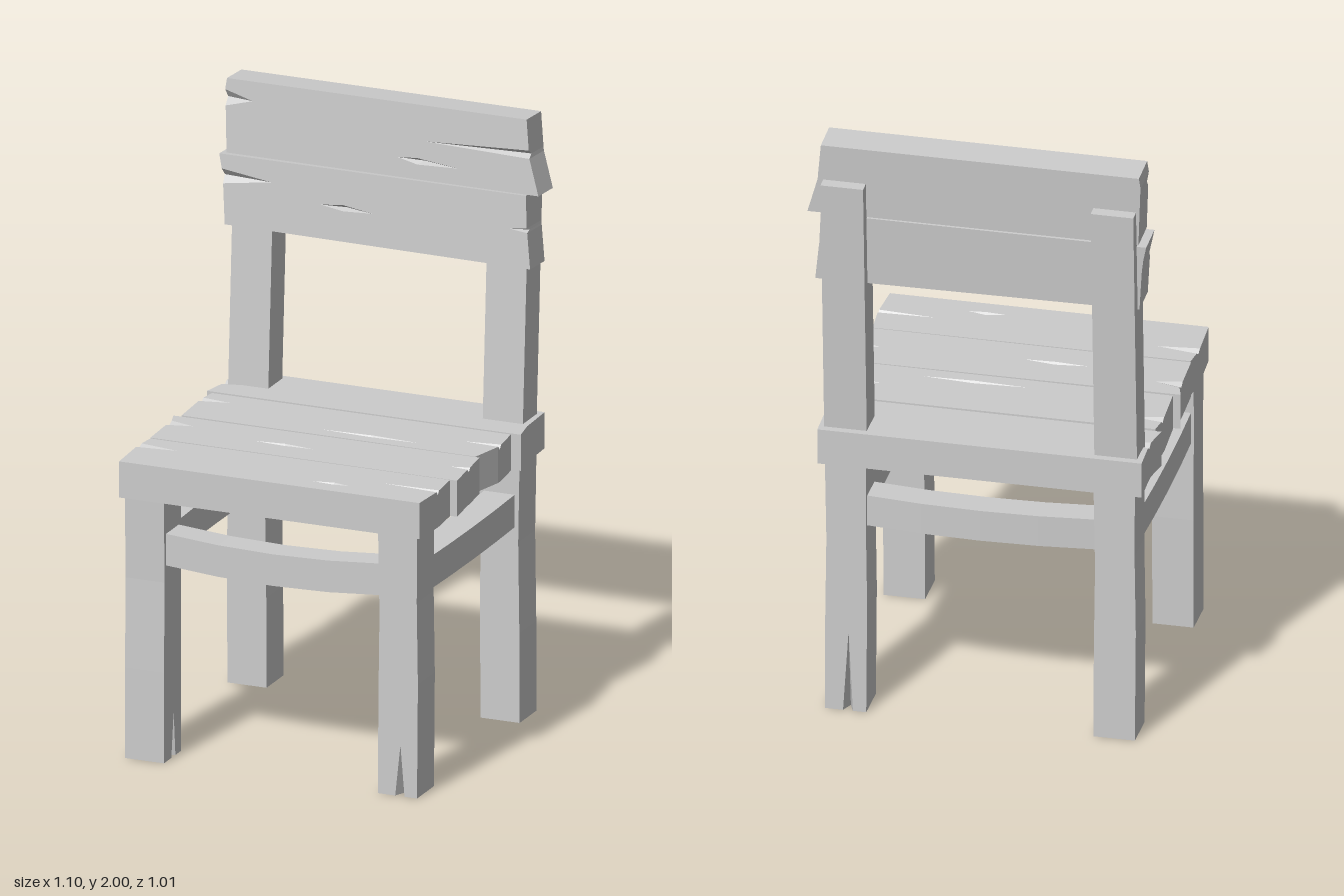
import * as THREE from 'three';

const grey = new THREE.MeshStandardMaterial({ color: 0xcccccc, flatShading: true });
const greyOpen = new THREE.MeshStandardMaterial({ color: 0xcccccc, flatShading: true, side: THREE.DoubleSide });

// Slab with its face at z = 0 and its back at z = -t. Outline points are [x, y];
// [x, y, ex, ey] is the tip of a V-shaped split that opens on the edge at (ex, ey).
// Each crack is a closed ring of points sunk to its centre.
function slabGeometry(outline, t, depth, cracks = [], openBottom = false) {
  const v2 = (p) => new THREE.Vector2(p[0], p[1]);
  const orient = (ring) => (THREE.ShapeUtils.isClockWise(ring.map(v2)) ? [...ring].reverse() : ring);
  const pts = orient(outline);
  const holes = cracks.map((c) => orient(c).slice().reverse());
  const pos = [];
  const tri = (...c) => c.forEach((p) => pos.push(...p));
  const at = (p, z) => [p[0], p[1], z];

  // Face, with splits and cracks cut out
  const all = [pts, ...holes].flat();
  THREE.ShapeUtils.triangulateShape(pts.map(v2), holes.map((h) => h.map(v2)))
    .forEach((f) => tri(...f.map((i) => at(all[i], 0))));

  // Back
  const base = pts.map((p) => (p.length > 2 ? [p[2], p[3]] : p));
  THREE.ShapeUtils.triangulateShape(base.map(v2), [])
    .forEach(([a, b, c]) => tri(at(base[a], -t), at(base[c], -t), at(base[b], -t)));

  // Edges and split sides
  pts.forEach((p, i) => {
    const j = (i + 1) % pts.length;
    const q = pts[j];
    const pTop = at(base[i], p.length > 2 ? -depth : 0);
    const qTop = at(base[j], q.length > 2 ? -depth : 0);
    if (!(openBottom && base[i][1] === 0 && base[j][1] === 0)) {
      const pb = at(base[i], -t);
      const qb = at(base[j], -t);
      tri(pTop, pb, qTop);
      tri(qTop, pb, qb);
    }
    if (q.length > 2) tri(at(p, 0), qTop, at(q, 0));
    if (p.length > 2) tri(at(p, 0), pTop, at(q, 0));
  });

  // Crack sides
  holes.forEach((h) => {
    const d = [0, 1].map((k) => h.reduce((s, p) => s + p[k], 0) / h.length);
    h.forEach((p, i) => tri(at(p, 0), at(d, -depth), at(h[(i + 1) % h.length], 0)));
  });

  const g = new THREE.BufferGeometry();
  g.setAttribute('position', new THREE.Float32BufferAttribute(pos, 3));
  g.computeVertexNormals();
  return g;
}

// Bar along x whose middle bows by (dy, dz)
function barGeometry(length, height, thick, dy, dz) {
  const g = new THREE.BoxGeometry(length, height, thick, 4, 1, 1);
  const p = g.attributes.position;
  for (let i = 0; i < p.count; i++) {
    const k = 1 - (2 * p.getX(i) / length) ** 2;
    p.setXYZ(i, p.getX(i), p.getY(i) + dy * k, p.getZ(i) + dz * k);
  }
  g.computeVertexNormals();
  return g;
}

export function createModel() {
  const chair = new THREE.Group();
  const add = (parent, name, geometry, x = 0, y = 0, z = 0, ry = 0, material = grey) => {
    const m = new THREE.Mesh(geometry, material);
    m.name = name;
    m.position.set(x, y, z);
    m.rotation.y = ry;
    parent.add(m);
    return m;
  };

  // Seat planks, drawn as [x, z] and laid flat
  const seat = new THREE.Group();
  seat.name = 'seat';
  chair.add(seat);
  const seatPlanks = [
    {
      outline: [[-0.527, 0.253], [0.503, 0.253], [0.512, 0.36], [0.326, 0.366, 0.512, 0.37], [0.512, 0.38],
        [0.505, 0.5], [-0.527, 0.5], [-0.535, 0.347], [-0.4, 0.332, -0.534, 0.33], [-0.533, 0.309]],
      crack: [[0.11, 0.435], [0.18, 0.421], [0.235, 0.435], [0.18, 0.441]],
    },
    {
      outline: [[-0.55, 0.017], [0.5, 0.013], [0.512, 0.115], [0.453, 0.13, 0.513, 0.126], [0.513, 0.138],
        [0.526, 0.25], [-0.53, 0.246], [-0.535, 0.11], [-0.45, 0.09, -0.535, 0.09], [-0.535, 0.065]],
      crack: [[-0.218, 0.144], [-0.115, 0.132], [-0.012, 0.147], [-0.115, 0.152]],
    },
    {
      outline: [[-0.527, -0.235], [0.5, -0.235], [0.512, -0.132], [0.39, -0.115, 0.512, -0.12], [0.512, -0.108],
        [0.485, 0.009], [-0.527, 0.006], [-0.535, -0.147], [-0.435, -0.168, -0.534, -0.166], [-0.534, -0.182]],
      crack: [[-0.07, -0.044], [0.106, -0.053], [0.27, -0.041], [0.106, -0.035]],
    },
    {
      outline: [[-0.54, -0.48], [0.51, -0.48], [0.515, -0.33], [0.53, -0.245], [-0.55, -0.248],
        [-0.535, -0.33], [-0.44, -0.35, -0.535, -0.35], [-0.535, -0.37]],
    },
  ];
  for (const { outline, crack } of seatPlanks) {
    const flip = (ps) => ps.map((p) => p.map((v, k) => (k % 2 ? -v : v)));
    const g = slabGeometry(flip(outline), 0.12, 0.012, crack ? [flip(crack)] : []);
    add(seat, 'seatPlank', g, 0, 0.99, 0).rotation.x = -Math.PI / 2;
  }

  // Backrest planks, leaning back
  const backrest = new THREE.Group();
  backrest.name = 'backrest';
  backrest.position.set(0, 1.515, -0.33);
  backrest.rotation.x = -0.062;
  chair.add(backrest);
  const backPlanks = [
    {
      outline: [[-0.53, 2], [-0.535, 1.963], [-0.44, 1.936, -0.533, 1.936], [-0.532, 1.91], [-0.525, 1.757],
        [0.547, 1.755], [0.513, 1.873], [0.15, 1.883, 0.511, 1.886], [0.51, 1.9], [0.5, 2]],
      crack: [[0.06, 1.82], [0.13, 1.825], [0.27, 1.809], [0.13, 1.804]],
    },
    {
      outline: [[-0.55, 1.751], [-0.54, 1.703], [-0.37, 1.68, -0.537, 1.68], [-0.534, 1.655], [-0.525, 1.522],
        [0.525, 1.513], [0.512, 1.63], [0.45, 1.637, 0.511, 1.637], [0.51, 1.645], [0.504, 1.751]],
      crack: [[-0.2, 1.63], [-0.12, 1.638], [-0.02, 1.623], [-0.12, 1.618]],
    },
  ];
  for (const { outline, crack } of backPlanks) {
    add(backrest, 'backrestPlank', slabGeometry(outline, 0.115, 0.02, [crack]), 0, -1.515, 0);
  }

  // Back posts
  for (const x of [-0.45, 0.425]) {
    add(chair, 'backPost', new THREE.BoxGeometry(0.138, 0.95, 0.11), x, 1.395, -0.423).rotation.x = -0.058;
  }

  // Legs, hollow at the foot; the cracked face is turned by ry
  const leg = (name, x, z, ry, crackHeight) => {
    const split = crackHeight ? [[-0.008, 0], [0.01, crackHeight, 0.008, 0], [0.024, 0]] : [];
    const outline = [[-0.067, 0], ...split, [0.067, 0], [0.07, 0.38], [0.066, 0.65], [0.067, 0.88],
      [-0.067, 0.88], [-0.062, 0.6], [-0.066, 0.3]];
    const n = new THREE.Vector3(Math.sin(ry), 0, Math.cos(ry)).multiplyScalar(0.067);
    add(chair, name, slabGeometry(outline, 0.134, 0.04, [], true), x + n.x, 0, z + n.z, ry, greyOpen);
  };
  leg('frontRightLeg', -0.447, 0.417, Math.PI / 2, 0.15);
  leg('frontLeftLeg', 0.423, 0.417, 0, 0.17);
  leg('backRightLeg', -0.447, -0.395, Math.PI, 0);
  leg('backLeftLeg', 0.423, -0.395, Math.PI, 0.28);

  // Stretchers between the legs
  add(chair, 'frontStretcher', barGeometry(0.76, 0.105, 0.1, -0.02, 0), -0.012, 0.707, 0.417);
  add(chair, 'backStretcher', barGeometry(0.76, 0.105, 0.1, 0, -0.025), -0.012, 0.705, -0.395);
  add(chair, 'rightStretcher', barGeometry(0.7, 0.108, 0.105, 0, 0.006), -0.452, 0.703, 0.01, -Math.PI / 2);
  add(chair, 'leftStretcher', barGeometry(0.7, 0.108, 0.105, 0, 0.006), 0.42, 0.703, 0.01, Math.PI / 2);

  return chair;
}
